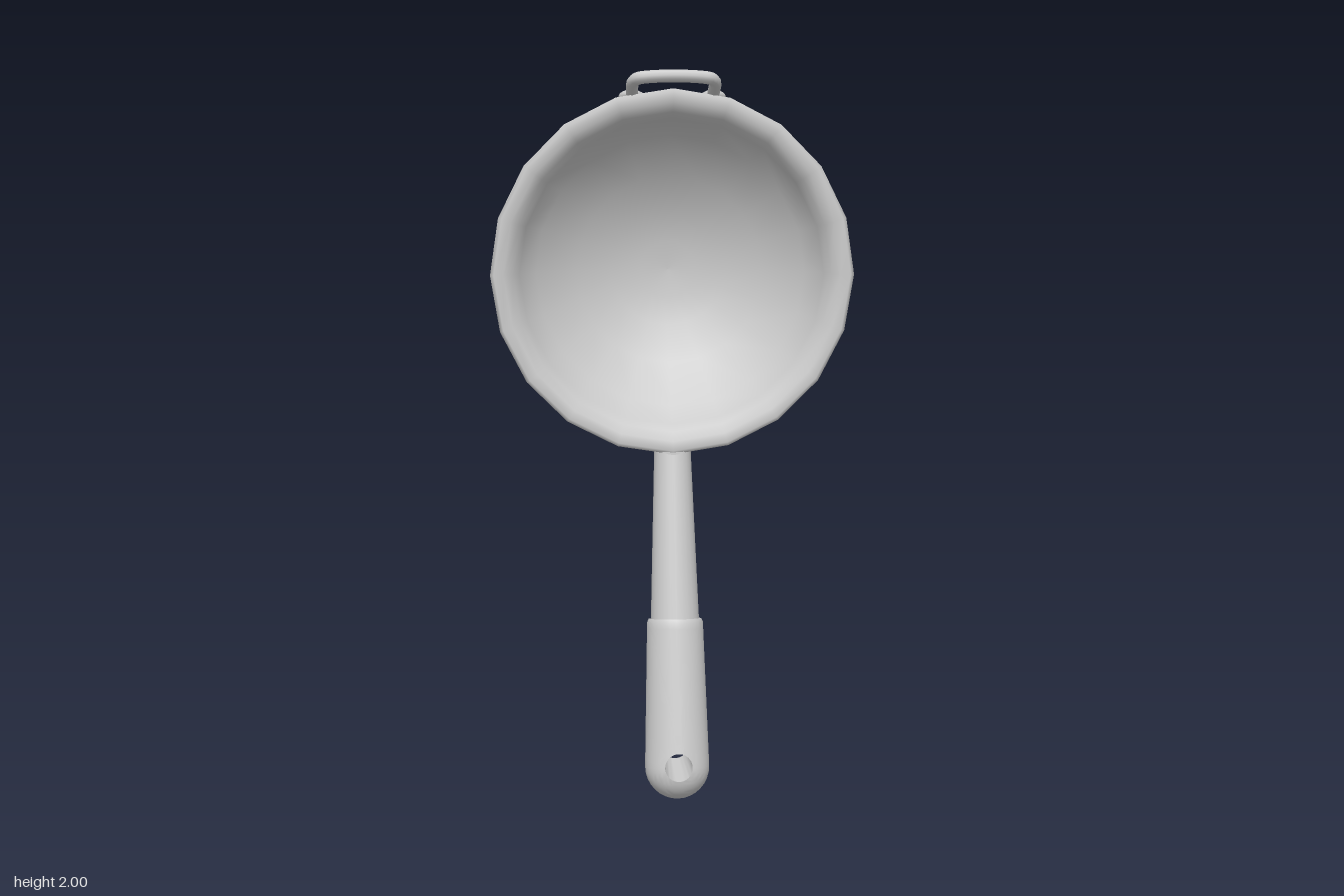
import * as THREE from 'three';
import { toCreasedNormals } from 'three/addons/utils/BufferGeometryUtils.js';

const grey = new THREE.MeshStandardMaterial({ color: 0xcccccc });

function add(parent, name, geometry) {
  const mesh = new THREE.Mesh(geometry, grey);
  mesh.name = name;
  parent.add(mesh);
  return mesh;
}

const v2 = (x, y) => new THREE.Vector2(x, y);

// Shallow thick-walled bowl: outer wall from the pole to the rim, then the inner wall back
function bowlGeometry() {
  const profile = [
    [0, -0.299], [0.09, -0.296], [0.188, -0.274], [0.305, -0.225], [0.44, -0.12],
    [0.502, 0], [0.505, 0.032], [0.495, 0.039], [0.468, 0.037], [0.443, 0.022],
    [0.426, -0.008], [0.382, -0.083], [0.268, -0.162], [0.165, -0.206], [0.08, -0.226], [0, -0.229],
  ].map(([r, z]) => v2(r, z));
  return new THREE.LatheGeometry(profile, 20).rotateX(Math.PI / 2);
}

// Grip: rounded, tapering bar with a hanging hole, swept as closed loops around the hole
const R = 0.09, LENGTH = 0.5, TILT = 0.247;

function gripRadius(s) {
  if (s < R) return Math.sqrt(Math.max(0, R * R - (R - s) ** 2));
  if (s < 0.49) return R - 0.011 * (s - R) / (0.49 - R);
  return 0.079 - 0.004 * (s - 0.49) / 0.01;
}

function gripGeometry() {
  // Right half of the outline, bottom to top, then mirrored
  const half = [];
  for (let k = 0; k <= 8; k++) {
    const a = (k / 8) * Math.PI / 2;
    half.push(v2(R * Math.sin(a), R - R * Math.cos(a)));
  }
  for (const s of [0.11, 0.135, 0.18, 0.25, 0.33, 0.41, 0.49]) half.push(v2(gripRadius(s), s));
  for (let k = 6; k >= 0; k--) half.push(v2(0.075 * Math.sin((k / 6) * Math.PI / 2), LENGTH));
  const outline = [...half, ...half.slice(1, -1).reverse().map((p) => v2(-p.x, p.y))];

  const holeRadius = 0.038, holeY = 0.116, shift = 0.085 * Math.tan(TILT), steps = 12;
  const loopCount = 2 * (steps + 1), positions = [], index = [];
  for (const edge of outline) {
    for (let j = 0; j < loopCount; j++) {
      const side = j <= steps ? 1 : -1;
      const k = side > 0 ? j : loopCount - 1 - j;
      const t = Math.sin((k / steps) * Math.PI / 2);
      const centre = v2(0, holeY - side * shift);
      const p = edge.clone().sub(centre).setLength(holeRadius).add(centre).lerp(edge, t);
      const depth = Math.sqrt(Math.max(0, gripRadius(p.y) ** 2 - p.x ** 2));
      positions.push(p.x, p.y, side * depth);
    }
  }
  const n = outline.length;
  for (let i = 0; i < n; i++) {
    for (let j = 0; j < loopCount; j++) {
      const i2 = (i + 1) % n, j2 = (j + 1) % loopCount;
      const a = i * loopCount + j, b = i * loopCount + j2;
      const c = i2 * loopCount + j2, d = i2 * loopCount + j;
      index.push(a, b, c, a, c, d);
    }
  }
  const geometry = new THREE.BufferGeometry();
  geometry.setAttribute('position', new THREE.Float32BufferAttribute(positions, 3));
  geometry.setIndex(index);
  return toCreasedNormals(geometry, 0.7);
}

// Tapered rod whose upper end is slanted to stay inside the bowl wall
function rodGeometry() {
  const bottom = 0.44, top = 1.01;
  const geometry = new THREE.CylinderGeometry(0.051, 0.07, top - bottom, 24);
  geometry.translate(0, (top + bottom) / 2, 0);
  const pos = geometry.attributes.position;
  for (let i = 0; i < pos.count; i++) {
    if (pos.getY(i) > top - 0.01) pos.setY(i, top - pos.getZ(i));
  }
  return geometry;
}

// Wire loop with an eyelet and a rivet at each foot, lying in its local xz plane
function hookLoop() {
  const loop = new THREE.Group();
  loop.name = 'hookLoop';
  const wire = new THREE.CatmullRomCurve3([
    [-0.111, 0.026], [-0.112, 0.06], [-0.11, 0.1], [-0.098, 0.12], [-0.07, 0.129], [0, 0.135],
    [0.07, 0.129], [0.098, 0.12], [0.11, 0.1], [0.112, 0.06], [0.111, 0.026],
  ].map(([x, z]) => new THREE.Vector3(x, 0, z)));
  add(loop, 'loopWire', new THREE.TubeGeometry(wire, 40, 0.017, 10));
  for (const side of [-1, 1]) {
    const eyelet = add(loop, 'eyelet', new THREE.TorusGeometry(0.024, 0.013, 10, 20).rotateX(Math.PI / 2));
    eyelet.position.x = side * 0.112;
    const rivet = add(loop, 'rivet', new THREE.SphereGeometry(0.016, 14, 10));
    rivet.position.set(side * 0.112, -0.014, 0);
  }
  loop.position.set(0, 1.931, -0.021);
  loop.rotation.x = -0.4;
  return loop;
}

export function createModel() {
  const model = new THREE.Group();
  model.name = 'ladle';

  add(model, 'bowl', bowlGeometry()).position.y = 1.45;

  // Tilted handle: rod and grip share one axis
  const handle = new THREE.Group();
  handle.name = 'handle';
  handle.position.set(0, 0.003, 0.231);
  handle.rotation.x = -TILT;
  add(handle, 'rod', rodGeometry());
  add(handle, 'grip', gripGeometry());
  model.add(handle);

  model.add(hookLoop());
  return model;
}
